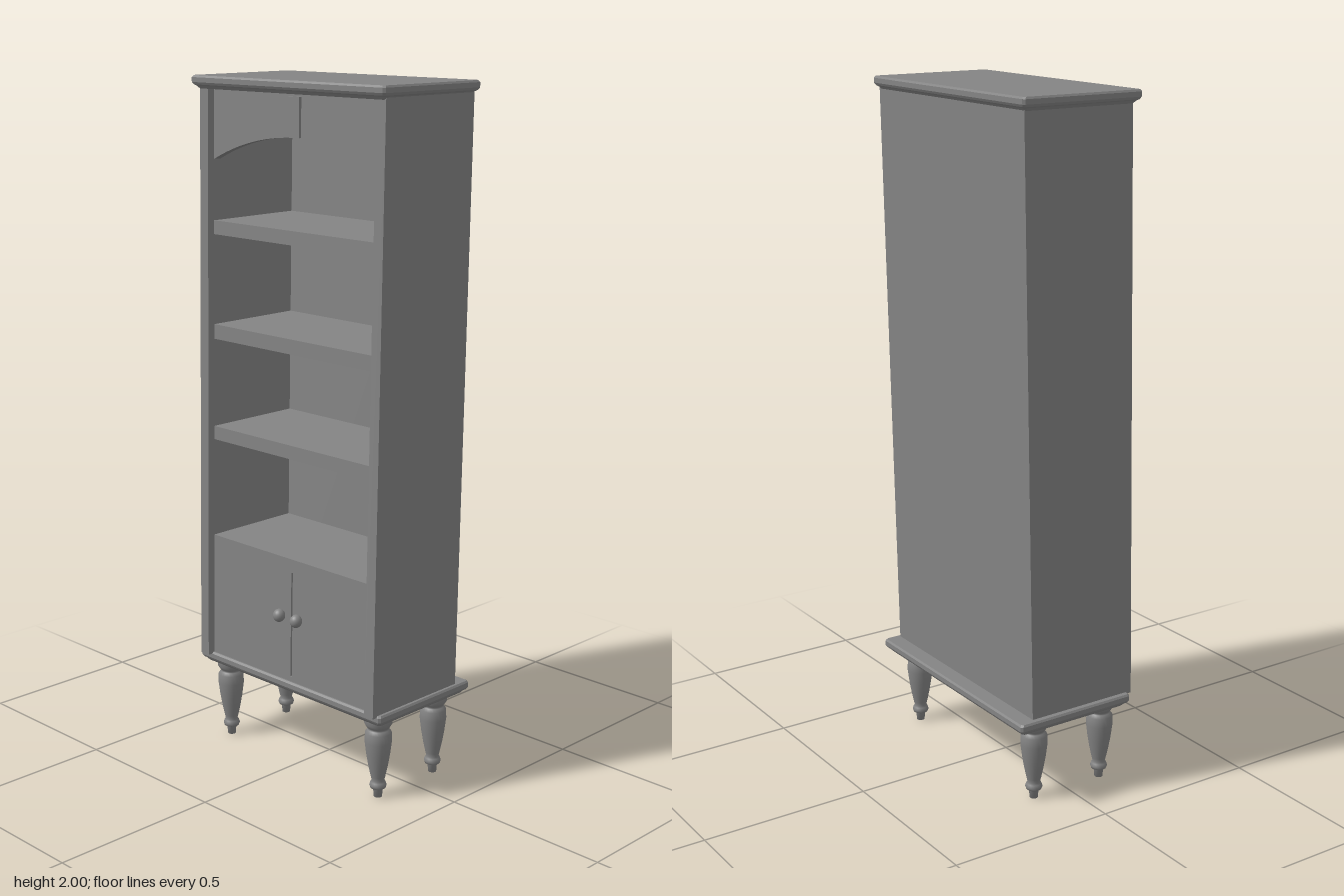
import * as THREE from 'three';

const mat = new THREE.MeshStandardMaterial({ color: 0x848484, side: THREE.DoubleSide });

export function createModel() {
  const model = new THREE.Group();
  model.name = 'bookcase';

  function add(parent, name, geo, x = 0, y = 0, z = 0) {
    const mesh = new THREE.Mesh(geo, mat);
    mesh.name = name;
    mesh.position.set(x, y, z);
    parent.add(mesh);
    return mesh;
  }

  // The carcass leans back slightly: shear z by height above the plinth
  const LEAN = 0.0208, Y0 = 0.275;
  const lean = new THREE.Matrix4().set(
    1, 0, 0, 0,
    0, 1, 0, 0,
    0, -LEAN, 1, LEAN * Y0,
    0, 0, 0, 1);
  const body = new THREE.Group();
  body.name = 'carcass';
  body.position.x = 0.003;
  model.add(body);

  // Box given by its extents, leaned with the carcass
  function board(name, x0, x1, y0, y1, z0, z1) {
    const g = new THREE.BoxGeometry(x1 - x0, y1 - y0, z1 - z0);
    g.translate((x0 + x1) / 2, (y0 + y1) / 2, (z0 + z1) / 2).applyMatrix4(lean);
    return add(body, name, g);
  }

  const BACK = -0.152, FRONT = 0.195, FACE = 0.172, TOP = 1.968;
  const IN = 0.327, OUT = 0.361;

  // Side panels and back
  board('leftSide', IN, OUT, 0.27, TOP, BACK, FRONT);
  board('rightSide', -OUT, -IN, 0.27, TOP, BACK, FRONT);
  board('backPanel', -IN, IN, 0.27, TOP, BACK, BACK + 0.015);

  // Open shelves
  for (const [y0, y1] of [[0.942, 0.982], [1.244, 1.287], [1.55, 1.59]])
    board('shelf', -IN, IN, y0, y1, BACK + 0.015, FACE);

  // Cupboard: top board, bottom rail and two doors with a narrow gap
  board('cupboardTop', -IN, IN, 0.607, 0.647, BACK + 0.015, FACE);
  board('cupboardFloor', -IN, IN, 0.27, 0.29, BACK + 0.015, FACE);
  board('rightDoor', -IN, 0.007, 0.29, 0.607, FACE - 0.03, FACE);
  board('leftDoor', 0.013, IN, 0.29, 0.607, FACE - 0.03, FACE);

  // Rounded door knobs
  const knobGeo = new THREE.SphereGeometry(0.018, 20, 14).scale(1, 1.08, 1);
  for (const x of [-0.027, 0.043]) add(body, 'knob', knobGeo, x, 0.473, 0.183);

  // Arched fascia below the cornice
  const arch = new THREE.Shape();
  arch.moveTo(-IN, TOP);
  arch.lineTo(-IN, 1.765);
  arch.bezierCurveTo(-0.12, 1.867, 0.12, 1.867, IN, 1.785);
  arch.lineTo(IN, TOP);
  const archGeo = new THREE.ExtrudeGeometry(arch, { depth: 0.025, bevelEnabled: false, curveSegments: 24 });
  archGeo.translate(0, 0, FACE - 0.025).applyMatrix4(lean);
  add(body, 'archedFascia', archGeo);
  board('keystone', -0.023, 0.027, 1.845, 1.955, FACE - 0.02, FACE + 0.008);

  // Moulded slab: rings of a clipped rectangle, wide above and drawn in below
  function slab(name, y, h) {
    const z0 = -0.202, z1 = 0.18;
    const rings = [[0.016, 0], [0.01, 0.2], [0.004, 0.3], [0, 0.48], [0, 0.85], [0.004, 1]];
    const pos = [], index = [];
    for (const [d, t] of rings) {
      const x = 0.376 - d, b = z0 + d, f = z1 - d, c = 0.006;
      for (const [px, pz] of [[x, b + c], [x - c, b], [-x + c, b], [-x, b + c],
        [-x, f - c], [-x + c, f], [x - c, f], [x, f - c]]) pos.push(px, y + h * t, pz);
    }
    for (let r = 0; r < rings.length - 1; r++)
      for (let i = 0; i < 8; i++) {
        const a = r * 8 + i, b = r * 8 + (i + 1) % 8;
        index.push(a, b, b + 8, a, b + 8, a + 8);
      }
    const t = (rings.length - 1) * 8;
    for (let i = 1; i < 7; i++) index.push(0, i + 1, i, t, t + i, t + i + 1);
    const g = new THREE.BufferGeometry();
    g.setAttribute('position', new THREE.Float32BufferAttribute(pos, 3));
    g.setIndex(index);
    const flat = g.toNonIndexed();
    flat.computeVertexNormals();
    add(model, name, flat);
  }
  slab('topSlab', 1.963, 0.037);
  slab('plinthSlab', 0.238, 0.037);

  // Turned legs
  const legProfile = [[0, 0], [0.012, 0], [0.014, 0.025], [0.022, 0.028], [0.025, 0.036],
    [0.022, 0.045], [0.018, 0.05], [0.021, 0.062], [0.028, 0.095], [0.034, 0.13],
    [0.039, 0.17], [0.038, 0.198], [0.031, 0.207], [0.029, 0.211], [0.034, 0.216],
    [0.04, 0.226], [0.041, 0.24]].map(p => new THREE.Vector2(...p));
  const legGeo = new THREE.LatheGeometry(legProfile, 24);
  for (const x of [-0.303, 0.319])
    for (const z of [-0.109, 0.124]) add(model, z > 0 ? 'frontLeg' : 'backLeg', legGeo, x, 0, z);

  return model;
}
